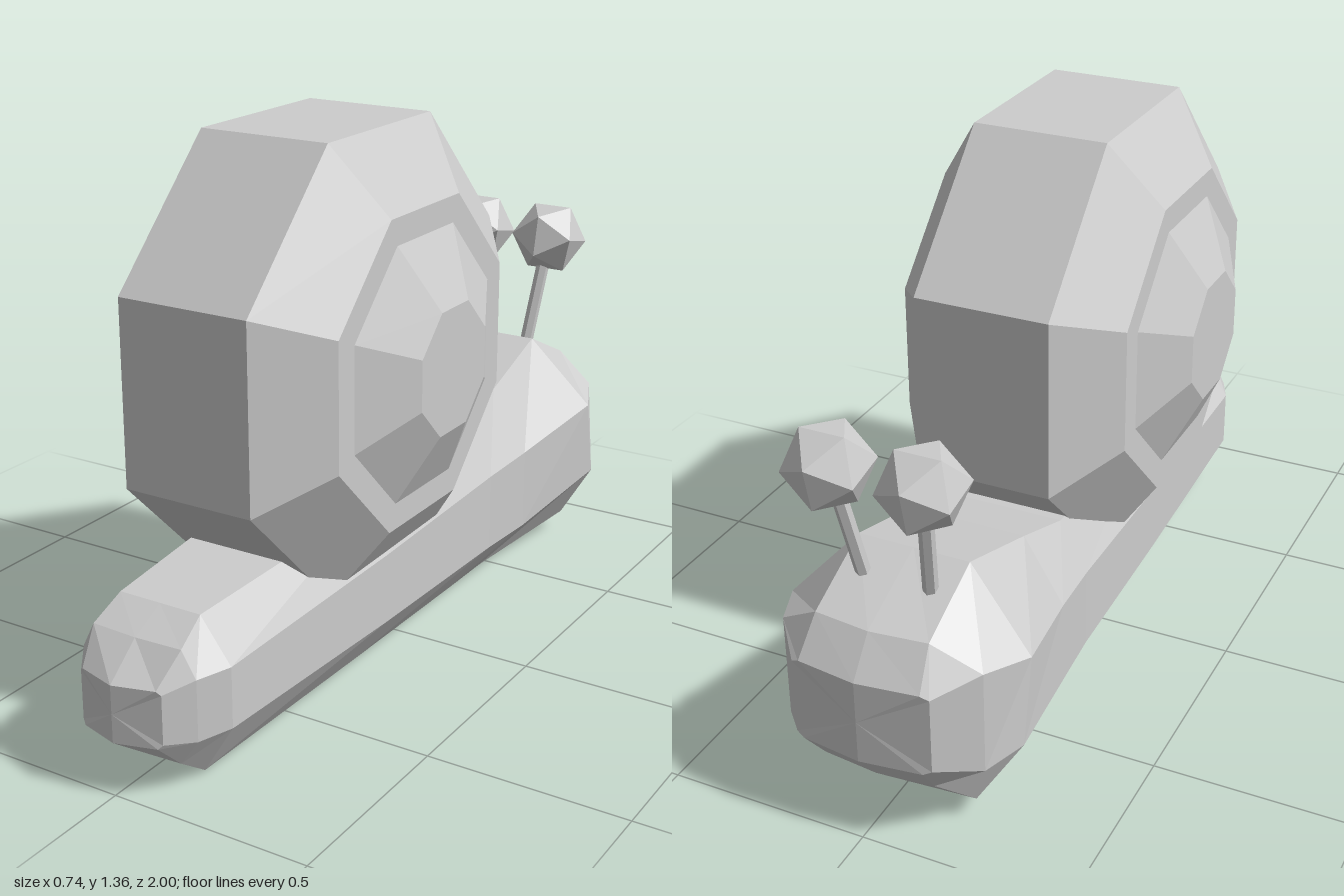
import * as THREE from 'three';

export function createModel() {
  const model = new THREE.Group();
  model.name = 'snail';
  const grey = new THREE.MeshStandardMaterial({ color: 0xcccccc, flatShading: true });
  grey.name = 'pale grey';

  const add = (name, geometry) => {
    const mesh = new THREE.Mesh(geometry, grey);
    mesh.name = name;
    model.add(mesh);
    return mesh;
  };

  // Body: cross-sections from tail to head
  // [zTop, zBottom, yTop, yUpper, yLower, yBottom, halfTop, halfSide, halfBottom, bow]
  const sections = [
    [1.0, 1.0, 0.275, 0.265, 0.145, 0.135, 0.10, 0.11, 0.10, 0.035],
    [0.91, 0.91, 0.35, 0.285, 0.135, 0.07, 0.12, 0.155, 0.11, 0.01],
    [0.82, 0.82, 0.395, 0.29, 0.14, 0.01, 0.11, 0.19, 0.11, 0],
    [0.2, 0.2, 0.43, 0.32, 0.14, 0.01, 0.15, 0.215, 0.12, 0],
    [-0.3, -0.3, 0.485, 0.355, 0.15, 0.005, 0.165, 0.235, 0.12, 0],
    [-0.47, -0.47, 0.535, 0.37, 0.155, 0.005, 0.15, 0.25, 0.12, 0],
    [-0.72, -0.83, 0.61, 0.43, 0.22, 0.055, 0.14, 0.305, 0.2, 0],
    [-0.93, -0.93, 0.52, 0.45, 0.19, 0.135, 0.14, 0.25, 0.14, -0.05],
    [-1.0, -1.0, 0.43, 0.42, 0.23, 0.22, 0.15, 0.17, 0.15, -0.025],
  ];
  const rings = sections.map(([zt, zb, yt, yu, yl, yb, ht, hs, hb, bow]) => {
    const outline = [
      [0, yt], [-ht, yt], [-hs, yu], [-hs, yl], [-hb, yb],
      [0, yb], [hb, yb], [hs, yl], [hs, yu], [ht, yt],
    ];
    return outline.map(([x, y]) => [
      x, y, THREE.MathUtils.mapLinear(y, yb, yt, zb, zt) - bow * (x / hs) ** 2,
    ]);
  });
  const positions = [];
  const tri = (...corners) => corners.forEach((p) => positions.push(...p));
  const n = 10;
  for (let i = 0; i < rings.length - 1; i++) {
    for (let j = 0; j < n; j++) {
      const k = (j + 1) % n;
      const a = rings[i][j], b = rings[i][k];
      const c = rings[i + 1][k], d = rings[i + 1][j];
      tri(a, d, c);
      tri(a, c, b);
    }
  }
  // Tail tip and face
  const tail = rings[0], head = rings[rings.length - 1];
  const tailTip = [0, 0.205, 1], nose = [0, 0.325, -1];
  for (let j = 0; j < n; j++) {
    const k = (j + 1) % n;
    tri(tailTip, tail[j], tail[k]);
    tri(nose, head[k], head[j]);
  }
  const bodyGeo = new THREE.BufferGeometry();
  bodyGeo.setAttribute('position', new THREE.Float32BufferAttribute(positions, 3));
  bodyGeo.computeVertexNormals();
  add('body', bodyGeo);

  // Shell: eight-sided profile turned about the x axis, given as [apothem, x]
  const half = [[0, 0.37], [0.15, 0.37], [0.31, 0.29], [0.375, 0.29], [0.545, 0.17]];
  const profile = [
    ...half.map(([r, x]) => [r, -x]),
    ...half.slice().reverse(),
  ].map(([r, x]) => new THREE.Vector2(r / Math.cos(Math.PI / 8), x));
  const shellGeo = new THREE.LatheGeometry(profile, 8, Math.PI / 8).toNonIndexed();
  shellGeo.computeVertexNormals();
  shellGeo.rotateZ(-Math.PI / 2);
  add('shell', shellGeo).position.set(0, 0.815, 0.165);

  // Eye stalks and faceted eyes
  for (const [side, s] of [['left', 1], ['right', -1]]) {
    const base = new THREE.Vector3(s * 0.08, 0.53, -0.79);
    const top = new THREE.Vector3(s * 0.113, 0.87, -0.865);
    const dir = top.clone().sub(base);
    const stalk = add(side + 'EyeStalk', new THREE.CylinderGeometry(0.018, 0.018, dir.length(), 6));
    stalk.position.copy(base).add(top).multiplyScalar(0.5);
    stalk.quaternion.setFromUnitVectors(new THREE.Vector3(0, 1, 0), dir.normalize());
    const eye = add(side + 'Eye', new THREE.IcosahedronGeometry(0.105, 0));
    eye.position.copy(top);
    eye.rotation.x = -0.22;
  }
  return model;
}
